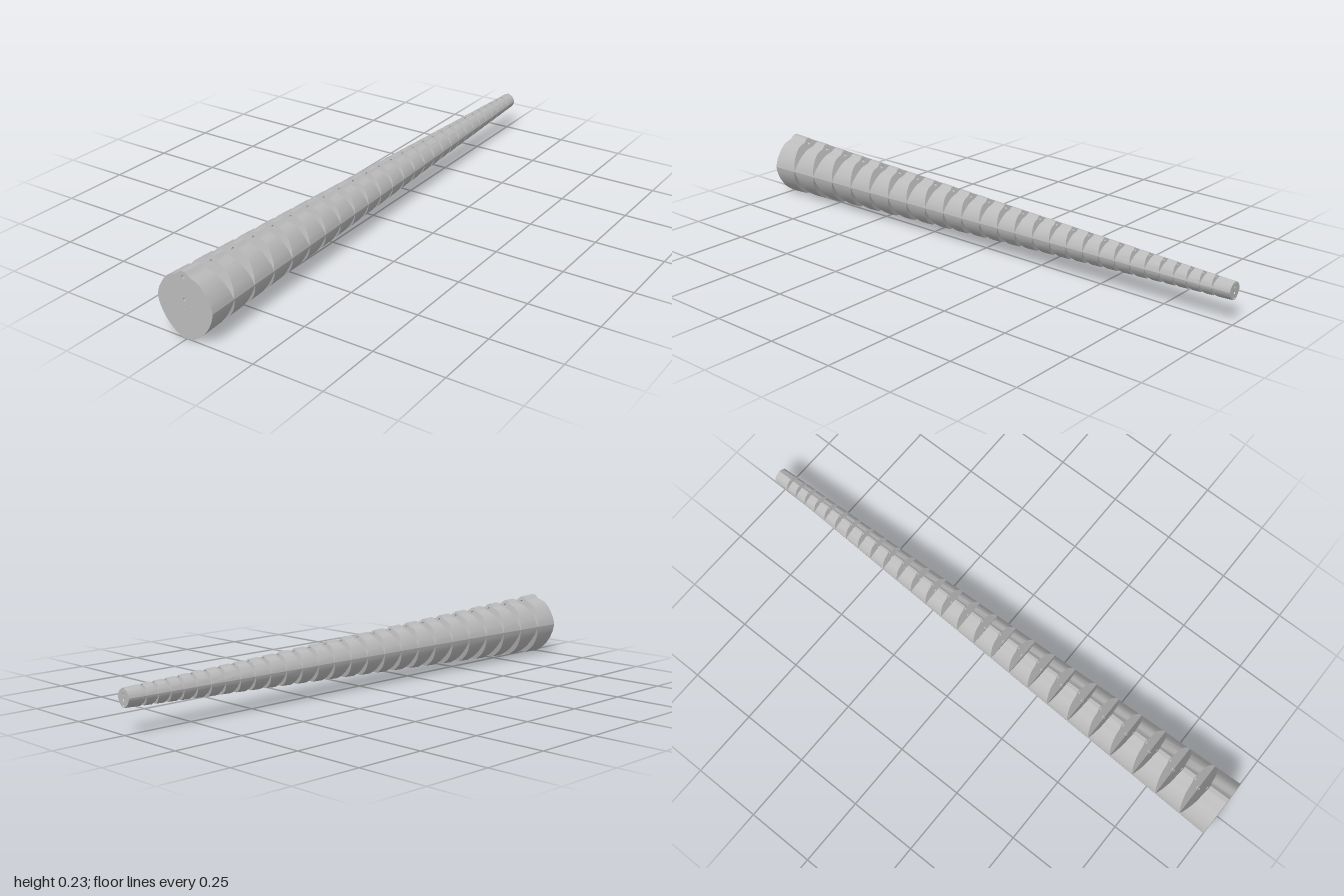
import * as THREE from 'three';
import { toCreasedNormals } from 'three/addons/utils/BufferGeometryUtils.js';

const AXIS_Y = 0.118;   // height of the hinge line
const TAPER = 0.365;    // loss of scale per unit of length
const scaleAt = (z) => 1 - TAPER * (1 - z);

// Half outlines at the thick end, measured from the hinge line outward
const UPPER = [[0.107, 0], [0.104, 0.014], [0.099, 0.03], [0.086, 0.053], [0.075, 0.068], [0.063, 0.08],
  [0.055, 0.086], [0.045, 0.091], [0.031, 0.095], [0.023, 0.098], [0.016, 0.104], [0.008, 0.111]];
const LOWER = [[0.107, 0], [0.104, 0.016], [0.099, 0.032], [0.089, 0.053], [0.08, 0.067], [0.07, 0.08],
  [0.058, 0.092], [0.046, 0.102], [0.034, 0.11], [0.021, 0.118]];

// One half of a segment: outline with two cable holes, cut by sloping end planes
function halfSegment(profile, side, front, back) {
  const k = scaleAt((front.z + back.z) / 2);
  const points = [...profile, ...profile.map(([x, y]) => [-x, y]).reverse()];
  const shape = new THREE.Shape(points.map(([x, y]) => new THREE.Vector2(x, y * side)));
  const t = (k - 0.27) / 0.73;
  const inner = (side > 0 ? 0.01 + 0.006 * t : 0.01 + 0.011 * t) / k;
  const outer = side > 0 ? 0.092 : 0.1;
  const addHole = (y, r) => {
    const hole = new THREE.Path();
    hole.absarc(0, y * side, r, 0, Math.PI * 2, true);
    shape.holes.push(hole);
  };
  addHole(inner, (0.0035 + 0.0025 * t) / k);
  addHole(outer, 0.006 / Math.sqrt(k));

  const geo = new THREE.ExtrudeGeometry(shape, { depth: 1, bevelEnabled: false, curveSegments: 6 });
  const pos = geo.attributes.position;
  for (let i = 0; i < pos.count; i++) {
    const isFront = pos.getZ(i) > 0.5;
    const end = isFront ? front : back;
    const slope = isFront ? -end.slope : end.slope;
    const y = Math.abs(pos.getY(i));
    // Distance from the hinge line after tapering, on the sloping plane
    const h = (y * scaleAt(end.z)) / (1 - TAPER * slope * y);
    const z = end.z + slope * h;
    pos.setXYZ(i, pos.getX(i) * scaleAt(z), AXIS_Y + side * h, z);
  }
  return toCreasedNormals(geo, 0.45);
}

export function createModel() {
  const model = new THREE.Group();
  model.name = 'taperedSegmentedArm';
  const grey = new THREE.MeshStandardMaterial({ color: 0xbbbbbb });
  grey.name = 'grey';

  // Flat base end, hinges growing closer together, flat tip end
  const ends = [{ z: 1, slope: 0 }];
  let z = 0.897;
  for (let i = 0; i < 26; i++) {
    ends.push({ z, slope: 0.27 - 0.0025 * i });
    z -= 0.1034 - 0.0025 * i;
  }
  ends.push({ z: -1, slope: 0 });

  for (let i = 0; i < ends.length - 1; i++) {
    const segment = new THREE.Group();
    segment.name = i === 0 ? 'baseSegment' : i === ends.length - 2 ? 'tipSegment' : `segment${i}`;
    const upper = new THREE.Mesh(halfSegment(UPPER, 1, ends[i], ends[i + 1]), grey);
    upper.name = 'upperHalf';
    const lower = new THREE.Mesh(halfSegment(LOWER, -1, ends[i], ends[i + 1]), grey);
    lower.name = 'lowerHalf';
    segment.add(upper, lower);
    model.add(segment);
  }
  return model;
}
